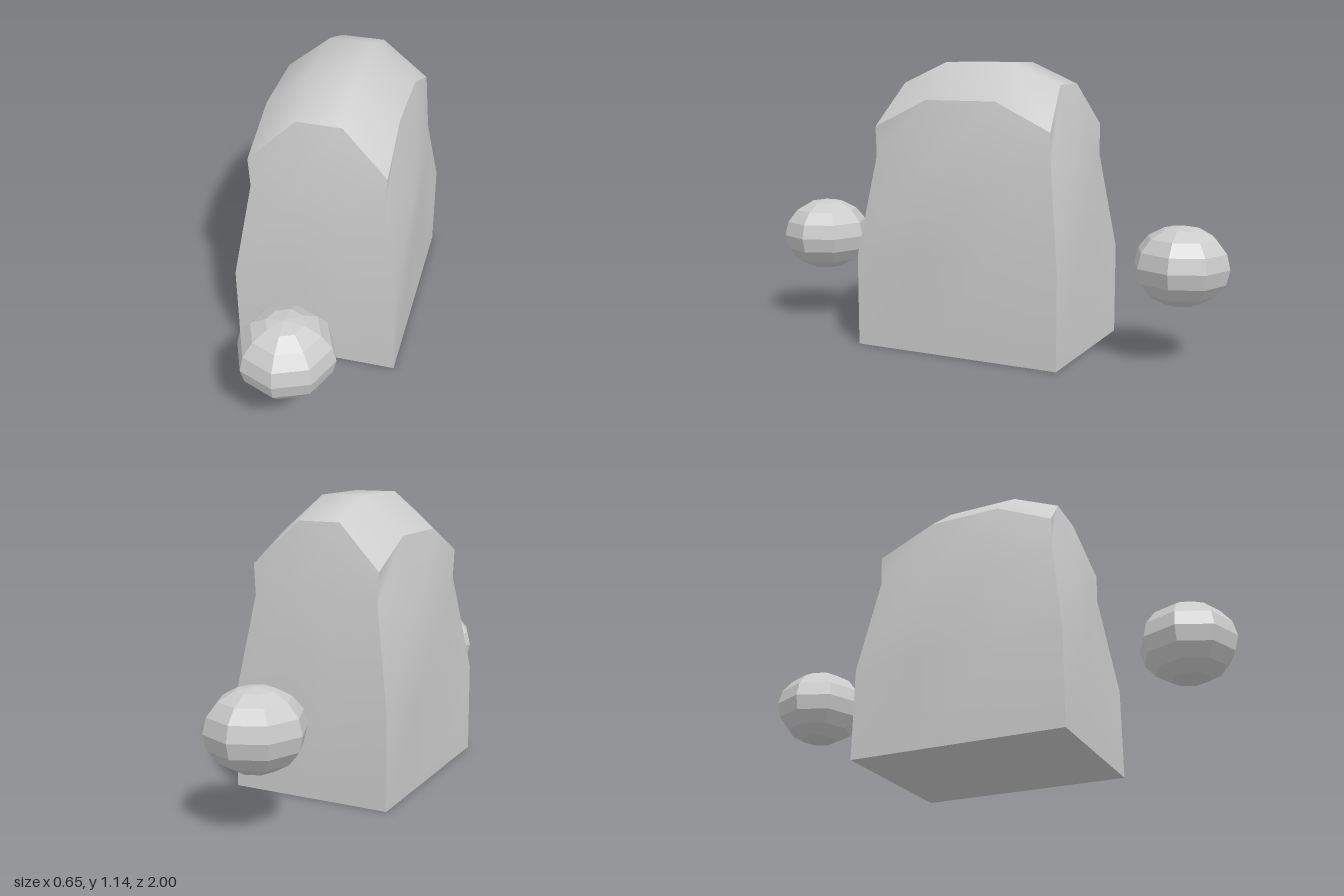
import * as THREE from 'three';

// Box of 3 x 3 x 3 cells whose grid points are pulled into a domed, tapered block.
// Each entry holds [x, y, z] per height row, bottom to top.
const RINGS = {
  corner: [[0.326, 0, 0.436], [0.326, 0.37, 0.436], [0.26, 0.77, 0.38], [0.266, 0.89, 0.38]],
  side: [[0.326, 0, 0.15], [0.326, 0.37, 0.15], [0.326, 0.715, 0.15], [0.26, 1.0, 0.15]],
  front: [[0.09, 0, 0.436], [0.09, 0.37, 0.436], [0.09, 0.78, 0.415], [0.088, 1.06, 0.345]],
  middle: [[0.09, 0, 0.15], [0.09, 0.37, 0.15], [0.09, 0.78, 0.15], [0.088, 1.145, 0.15]],
};

function bodyGeometry() {
  const geo = new THREE.BoxGeometry(3, 3, 3, 3, 3, 3);
  const pos = geo.attributes.position;
  for (let i = 0; i < pos.count; i++) {
    const x = pos.getX(i), z = pos.getZ(i);
    const row = Math.round(pos.getY(i) + 1.5);
    const outerX = Math.abs(x) > 1, outerZ = Math.abs(z) > 1;
    const ring = outerX ? (outerZ ? 'corner' : 'side') : (outerZ ? 'front' : 'middle');
    const [px, py, pz] = RINGS[ring][row];
    pos.setXYZ(i, Math.sign(x) * px, py, Math.sign(z) * pz);
  }
  // Smooth within each of the six faces, sharp between them
  geo.computeVertexNormals();
  return geo;
}

export function createModel() {
  const model = new THREE.Group();
  model.name = 'domedBlockWithBalls';

  // Domed body
  const body = new THREE.Mesh(bodyGeometry(), new THREE.MeshStandardMaterial({ color: 0xcccccc }));
  body.name = 'body';
  model.add(body);

  // Faceted, slightly squashed balls floating in front and behind
  const ballMaterial = new THREE.MeshStandardMaterial({ color: 0xcccccc, flatShading: true });
  const ballGeometry = new THREE.SphereGeometry(0.187, 8, 8);
  ballGeometry.scale(1, 0.83, 1);
  for (const [name, side] of [['frontBall', 1], ['backBall', -1]]) {
    const ball = new THREE.Mesh(ballGeometry, ballMaterial);
    ball.name = name;
    ball.position.set(0, 0.38, side * 0.813);
    model.add(ball);
  }
  return model;
}
